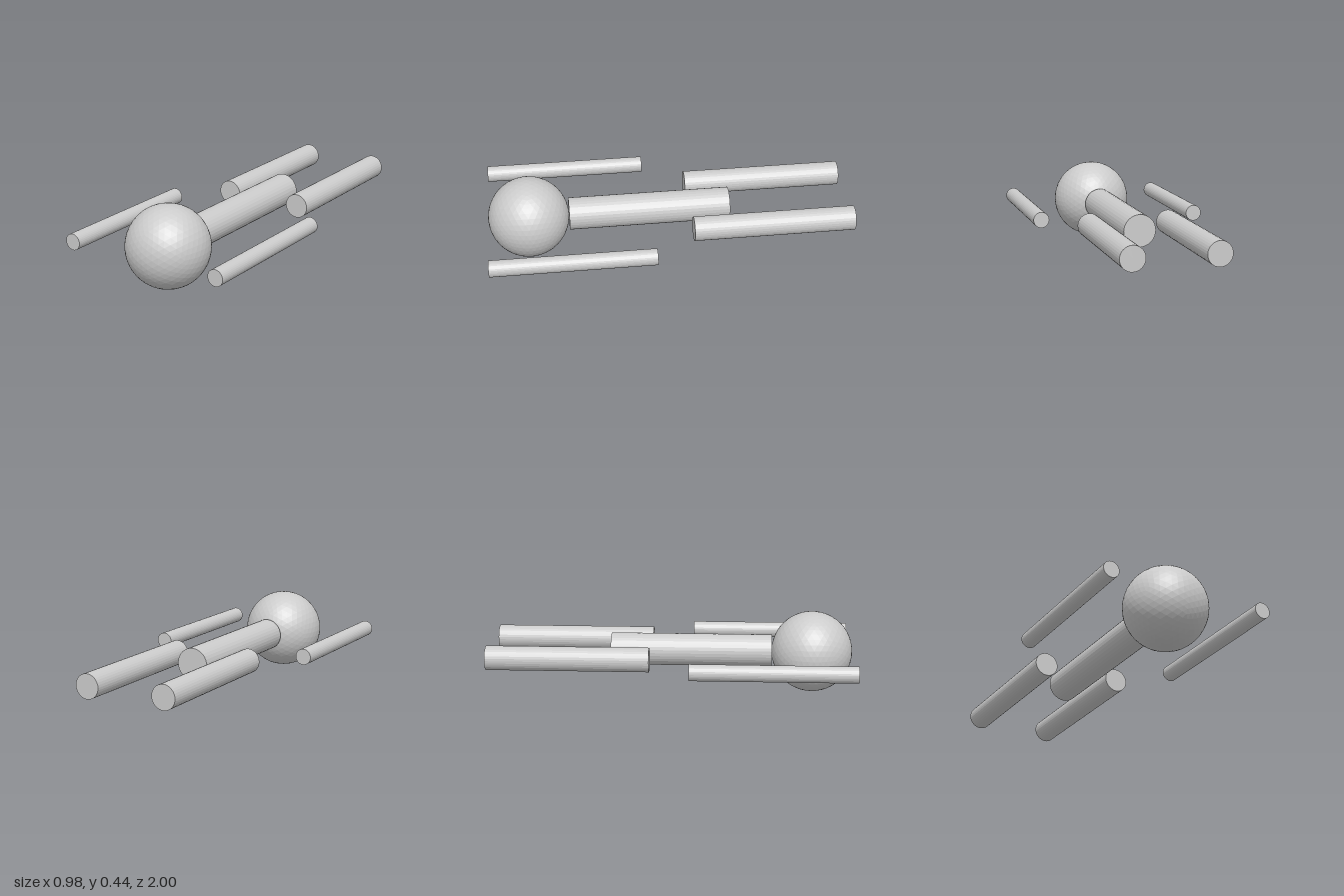
import * as THREE from 'three';

const UNIT = 2 / 9; // head radius; every other size is a multiple of it
const LENGTH = 4 * UNIT;

export function createModel() {
  const model = new THREE.Group();
  const material = new THREE.MeshStandardMaterial({ color: 0xcccccc, flatShading: true });

  const add = (name, geometry, x, z) => {
    const mesh = new THREE.Mesh(geometry, material);
    mesh.name = name;
    mesh.position.set(x, UNIT, z);
    model.add(mesh);
  };

  // A capped rod lying along z
  const rod = (radius) => new THREE.CylinderGeometry(radius, radius, LENGTH, 32).rotateX(Math.PI / 2);

  // Faceted head at the front, torso right behind it
  add('head', new THREE.IcosahedronGeometry(UNIT, 7), 0, 1 - UNIT);
  add('torso', rod(0.4 * UNIT), 0, UNIT / 2);

  // Detached limbs, mirrored left and right
  for (const [side, s] of [['left', 1], ['right', -1]]) {
    add(`${side}Arm`, rod(0.2 * UNIT), s * 2 * UNIT, 1 - LENGTH / 2);
    add(`${side}Leg`, rod(0.3 * UNIT), s * UNIT, -1 + LENGTH / 2);
  }
  return model;
}
